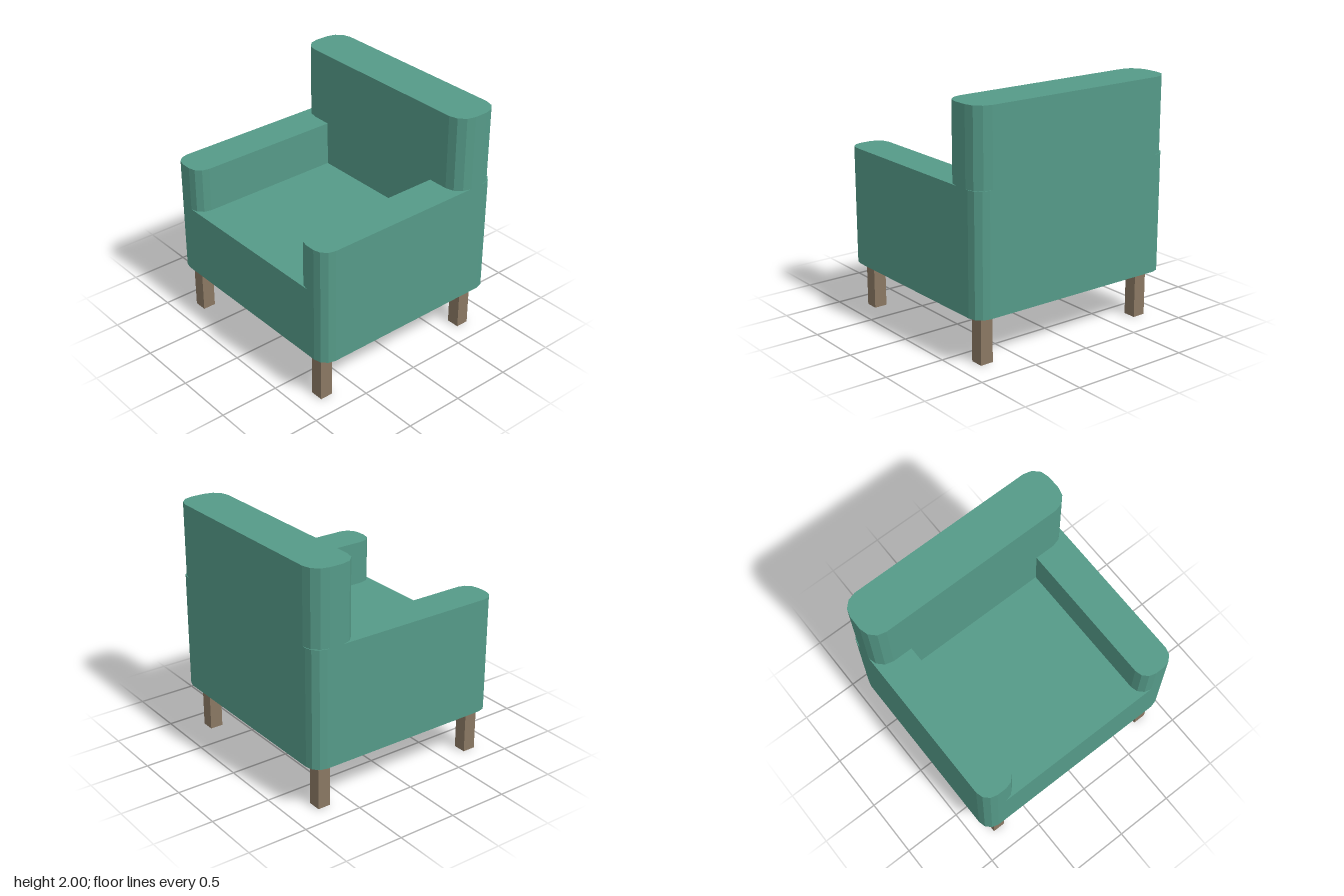
import * as THREE from 'three';

const CORNER_STEPS = 3;

// Upright block with a rounded-rectangle footprint and faceted corners
function roundedBlock(width, depth, radius, bottom, top) {
  const points = [];
  const corners = [[1, 1], [-1, 1], [-1, -1], [1, -1]];
  corners.forEach(([sx, sy], i) => {
    for (let k = 0; k <= CORNER_STEPS; k++) {
      const a = (i + k / CORNER_STEPS) * Math.PI / 2;
      points.push(new THREE.Vector2(
        sx * (width / 2 - radius) + Math.cos(a) * radius,
        sy * (depth / 2 - radius) + Math.sin(a) * radius));
    }
  });
  const geometry = new THREE.ExtrudeGeometry(new THREE.Shape(points), {
    depth: top - bottom, bevelEnabled: false,
  });
  return geometry.rotateX(-Math.PI / 2).translate(0, bottom, 0);
}

export function createModel() {
  const group = new THREE.Group();
  const fabric = new THREE.MeshStandardMaterial({ color: 0x559a88 });
  fabric.name = 'green fabric';
  const wood = new THREE.MeshStandardMaterial({ color: 0x8a7863 });
  wood.name = 'brown wood';

  function add(name, geometry, material, x, y, z) {
    const mesh = new THREE.Mesh(geometry, material);
    mesh.name = name;
    mesh.position.set(x, y, z);
    group.add(mesh);
  }

  // Seat block, running under the middle of each arm
  add('seat', new THREE.BoxGeometry(1.55, 0.6, 1.73), fabric, 0, 0.7, 0);

  // Backrest
  add('backrest', roundedBlock(1.865, 0.395, 0.14, 0.4, 2), fabric, 0, 0, -0.6675);

  // Arms and legs, mirrored left and right
  for (const side of [1, -1]) {
    const label = side > 0 ? 'left' : 'right';
    add(label + 'Arm', roundedBlock(0.31, 1.73, 0.115, 0.4, 1.38), fabric, side * 0.7775, 0, 0);
    const leg = new THREE.BoxGeometry(0.11, 0.4, 0.11);
    add(label + 'FrontLeg', leg, wood, side * 0.778, 0.2, 0.757);
    add(label + 'BackLeg', leg, wood, side * 0.778, 0.2, -0.71);
  }
  return group;
}
